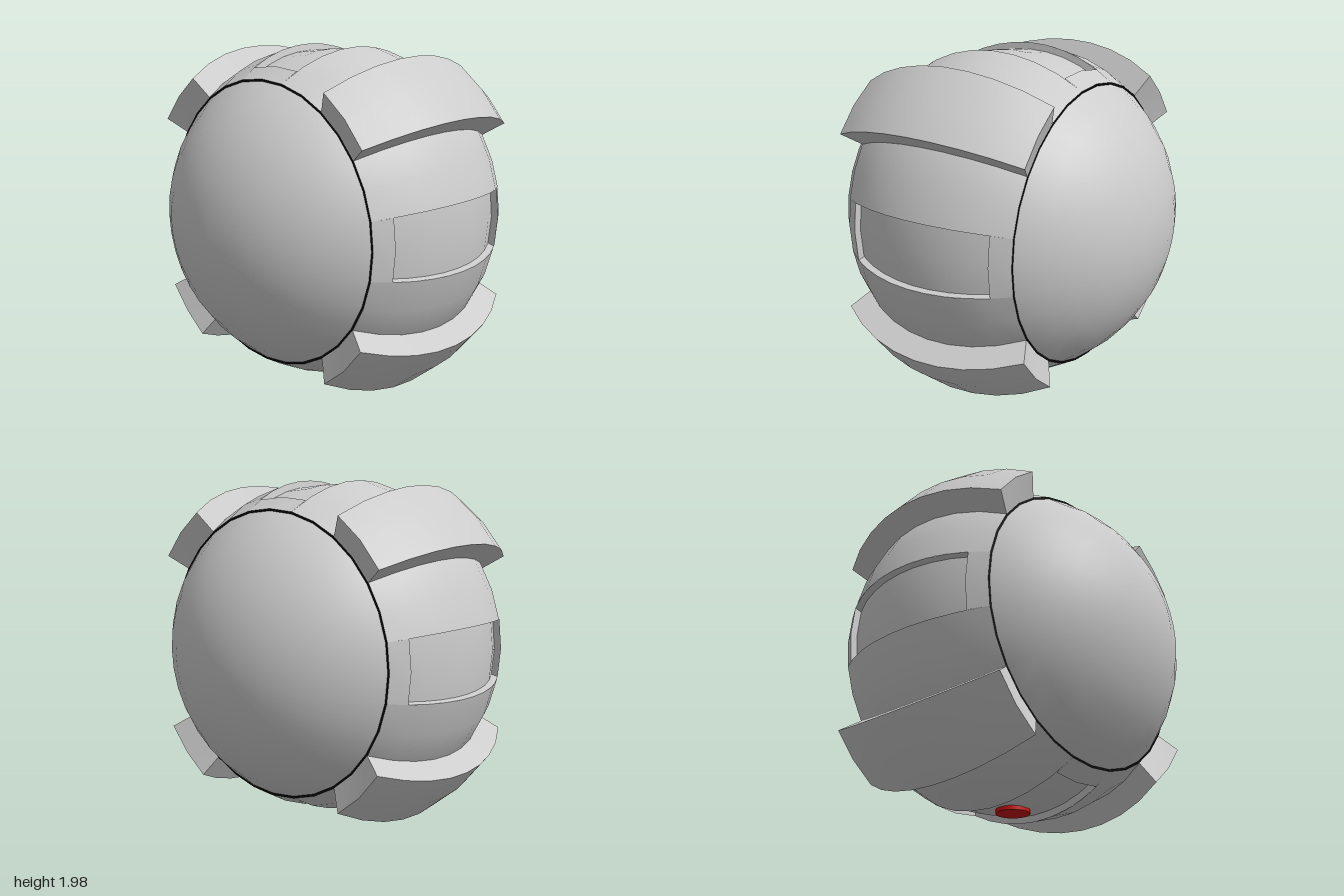
import * as THREE from 'three';
import { mergeGeometries } from 'three/addons/utils/BufferGeometryUtils.js';

const HALF = Math.PI / 16;   // half angle of a recess or ridge
const BAND = 1.01;           // radius of the central band
const EDGE = 0.575;          // x where the band meets the caps

// Point on a sphere of radius R, at angle a around the x axis
function point(a, x, R) {
  const r = Math.sqrt(R * R - x * x);
  return [x, r * Math.cos(a), r * Math.sin(a)];
}

// Grid surface from f(u, v), facing du x dv
function surface(f, nu, nv) {
  const pos = [], idx = [];
  for (let i = 0; i <= nu; i++)
    for (let j = 0; j <= nv; j++) pos.push(...f(i / nu, j / nv));
  for (let i = 0; i < nu; i++)
    for (let j = 0; j < nv; j++) {
      const p = i * (nv + 1) + j, q = p + nv + 1;
      idx.push(p, q, q + 1, p, q + 1, p + 1);
    }
  const g = new THREE.BufferGeometry();
  g.setAttribute('position', new THREE.Float32BufferAttribute(pos, 3));
  g.setIndex(idx);
  g.computeVertexNormals();
  return g;
}

const lerp = THREE.MathUtils.lerp;

// Patch of the sphere between two angles and two x positions
function patch(a0, a1, x0, x1, R, na, nx) {
  return surface((u, v) => point(lerp(a0, a1, u), lerp(x0, x1, v), R), na, nx);
}

// Patch at another level, joined to the band by four walls (raised or sunken)
function steppedPatch(a, level, xLevel, xBase) {
  const parts = [patch(a - HALF, a + HALF, -xLevel, xLevel, level, 2, 8)];
  for (const s of [-1, 1]) {
    const wall = (along, t) => point(a + s * HALF, along * lerp(xBase, xLevel, t), lerp(BAND, level, t));
    parts.push(surface((u, v) => wall(s * (2 * u - 1), v), 8, 1));
    const end = (along, t) => point(a + along * HALF, s * lerp(xBase, xLevel, t), lerp(BAND, level, t));
    parts.push(surface((u, v) => end(-s * (2 * u - 1), v), 2, 1));
  }
  return mergeGeometries(parts);
}

export function createModel() {
  const group = new THREE.Group();
  const grey = new THREE.MeshStandardMaterial({ color: 0xcccccc });
  const black = new THREE.MeshStandardMaterial({ color: 0x080808 });
  const red = new THREE.MeshStandardMaterial({ color: 0xcc1111 });
  const add = (name, geometry, material = grey) => {
    const mesh = new THREE.Mesh(geometry, material);
    mesh.name = name;
    mesh.position.y = 1;
    group.add(mesh);
    return mesh;
  };

  // Band with four recesses, and a ridge midway between each pair
  const bandParts = [];
  for (let q = 0; q < 4; q++) {
    const a = q * Math.PI / 2;
    bandParts.push(
      patch(a + HALF, a + Math.PI / 2 - HALF, -EDGE, EDGE, BAND, 6, 8),
      patch(a - HALF, a + HALF, -EDGE, -0.47, BAND, 2, 1),
      patch(a - HALF, a + HALF, 0.47, EDGE, BAND, 2, 1));
    add('recess', steppedPatch(a, 0.97, 0.47, 0.47));
    add('ridge', steppedPatch(a + Math.PI / 4, 1.155, 0.635, EDGE));
  }
  add('band', mergeGeometries(bandParts));

  // Domed side caps with a dark seam around each
  for (const s of [-1, 1]) {
    const cap = new THREE.SphereGeometry(1, 32, 6, 0, Math.PI * 2, 0, Math.acos(EDGE));
    cap.rotateZ(-s * Math.PI / 2);
    add(s > 0 ? 'leftCap' : 'rightCap', cap);
    const seam = new THREE.RingGeometry(0.812, 0.831, 32);
    seam.rotateY(s * Math.PI / 2);
    seam.translate(s * EDGE, 0, 0);
    add(s > 0 ? 'leftSeam' : 'rightSeam', seam, black);
  }

  // Round light in the bottom recess
  add('bottomLight', new THREE.CylinderGeometry(0.1, 0.1, 0.025, 24), red).position.y = 0.03;
  return group;
}
